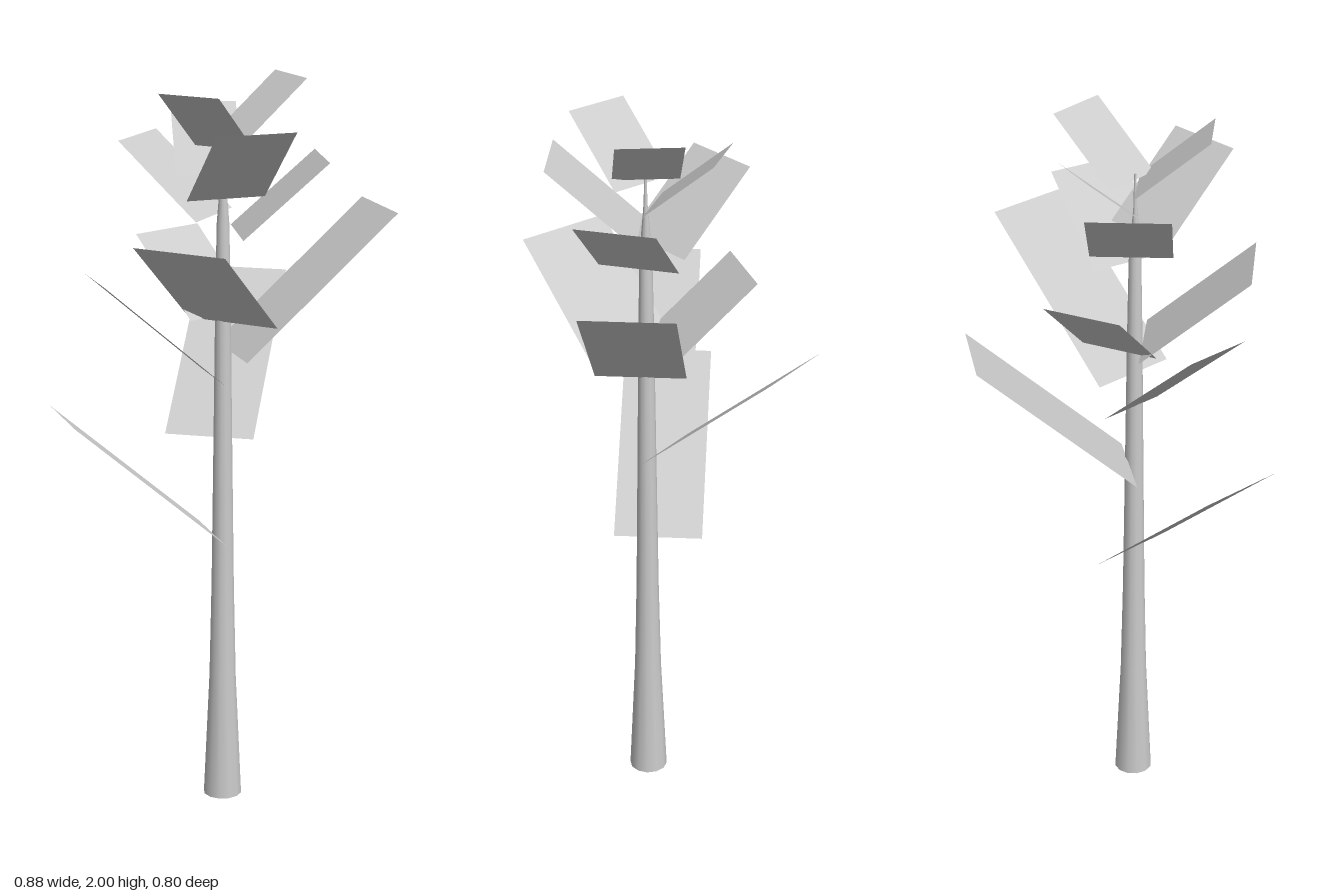
import * as THREE from 'three';

// Each leaf: inner edge midpoint x, z, heading (degrees from +x towards +z),
// width, horizontal reach, height of inner edge, height of outer edge
const LEAVES = [
  [-0.02, 0.035, 180, 0.245, 0.42, 0.757, 1.127],
  [-0.027, 0.022, -57.4, 0.245, 0.421, 1.03, 1.405],
  [-0.02, 0.034, 180, 0.19, 0.325, 1.2, 1.487],
  [0.017, 0.077, 0, 0.245, 0.42, 1.275, 1.645],
  [0.011, 0.105, 137.9, 0.265, 0.29, 1.362, 1.605],
  [0.01, 0.02, 248.3, 0.217, 0.225, 1.365, 1.563],
  [0.031, 0.079, 11, 0.216, 0.225, 1.598, 1.795],
  [-0.017, 0.036, 225, 0.218, 0.225, 1.64, 1.836],
  [0, 0.08, 90, 0.216, 0.23, 1.69, 1.894],
  [-0.034, 0.048, -76, 0.175, 0.19, 1.75, 1.912],
  [0, 0.071, 138, 0.175, 0.193, 1.822, 1.982],
  [0.007, 0.061, -7.5, 0.175, 0.19, 1.838, 2.0],
];

export function createModel() {
  const group = new THREE.Group();
  const material = new THREE.MeshStandardMaterial({ color: 0xcccccc, side: THREE.DoubleSide });

  // Open, tapering trunk ending in a thin tip
  const profile = [
    [0.053, 0], [0.037, 0.35], [0.031, 0.62], [0.026, 1.0],
    [0.021, 1.4], [0.017, 1.62], [0.005, 1.77], [0.003, 1.86],
  ].map(([r, y]) => new THREE.Vector2(r, y));
  const trunk = new THREE.Mesh(new THREE.LatheGeometry(profile, 12), material);
  trunk.name = 'trunk';
  trunk.position.set(-0.002, 0, 0.063);
  group.add(trunk);

  // Flat leaf cards spiralling up the trunk, each tilted upwards and outwards
  const leaves = new THREE.Group();
  leaves.name = 'leaves';
  LEAVES.forEach(([x, z, heading, width, reach, y0, y1], i) => {
    const rise = y1 - y0;
    const length = Math.hypot(reach, rise);
    const card = new THREE.PlaneGeometry(length, width)
      .rotateX(-Math.PI / 2)
      .translate(length / 2, 0, 0)
      .rotateZ(Math.atan2(rise, reach))
      .rotateY(-THREE.MathUtils.degToRad(heading));
    const leaf = new THREE.Mesh(card, material);
    leaf.name = `leaf${i + 1}`;
    leaf.position.set(x, y0, z);
    leaves.add(leaf);
  });
  group.add(leaves);
  return group;
}
